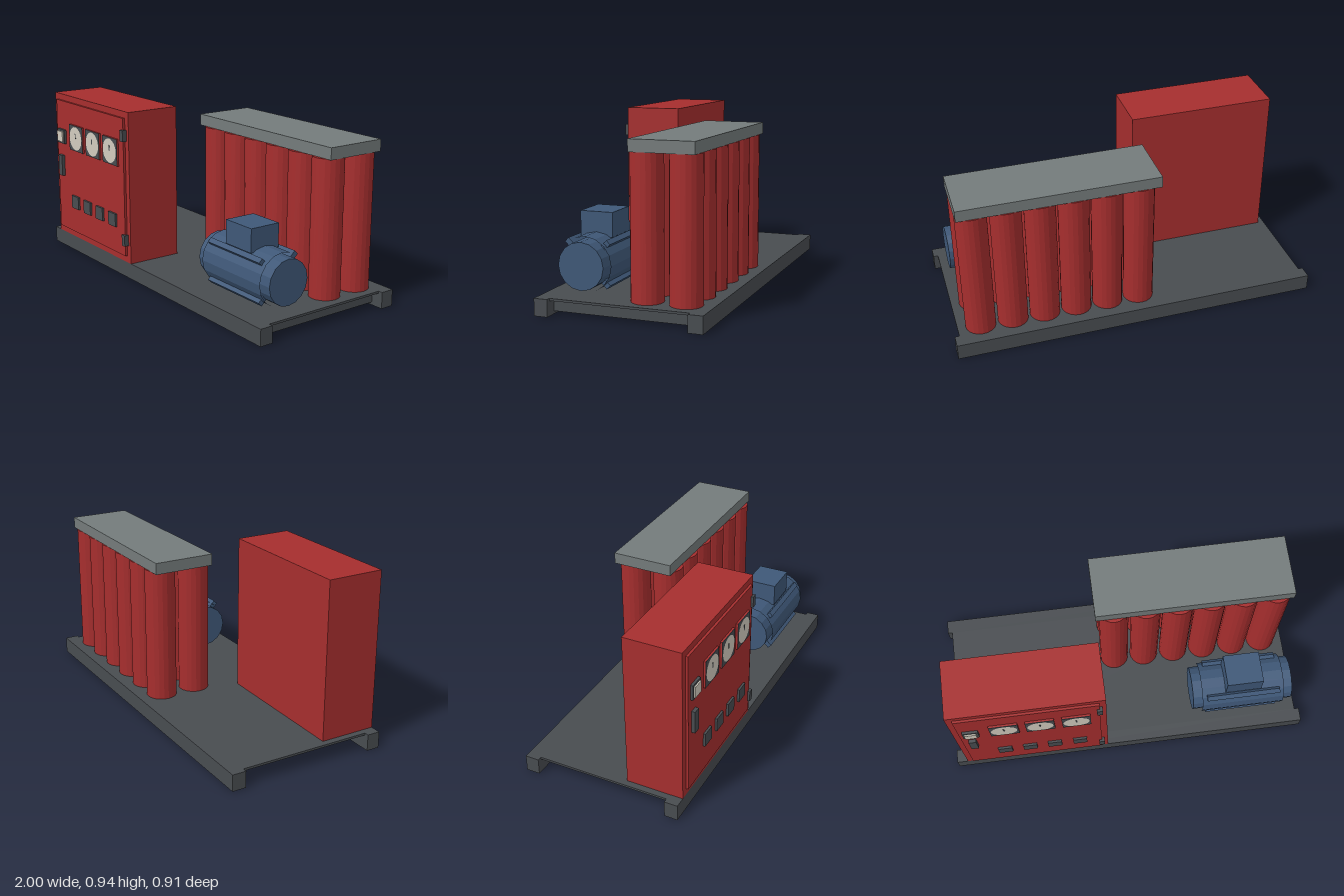
import * as THREE from 'three';

const mat = (name, color, extra = {}) => {
  const m = new THREE.MeshStandardMaterial({ color, ...extra });
  m.name = name;
  return m;
};

export function createModel() {
  const red = mat('red paint', 0xa62e2e, { flatShading: true });
  const blue = mat('blue paint', 0x3f5878, { flatShading: true });
  const dark = mat('dark steel', 0x484c50);
  const grey = mat('grey steel', 0x747b7b);
  const cream = mat('cream dial', 0xd2cbbe);

  const root = new THREE.Group();
  root.name = 'pumpSkid';
  const group = (name) => {
    const g = new THREE.Group();
    g.name = name;
    root.add(g);
    return g;
  };
  const add = (parent, name, geo, material, x = 0, y = 0, z = 0) => {
    const m = new THREE.Mesh(geo, material);
    m.name = name;
    m.position.set(x, y, z);
    parent.add(m);
    return m;
  };
  // Box given by its extents on each axis
  const box = (parent, name, material, x0, x1, y0, y1, z0, z1) =>
    add(parent, name, new THREE.BoxGeometry(x1 - x0, y1 - y0, z1 - z0), material,
      (x0 + x1) / 2, (y0 + y1) / 2, (z0 + z1) / 2);

  // Base frame: two rails, deck and cross members
  const base = group('base');
  box(base, 'frontRail', dark, -1, 1, 0, 0.089, 0.348, 0.42);
  box(base, 'backRail', dark, -1, 1, 0, 0.089, -0.455, -0.38);
  box(base, 'deck', dark, -0.975, 0.975, 0.077, 0.089, -0.38, 0.348);
  for (const x of [-0.6, -0.1, 0.4, 0.9])
    box(base, 'crossMember', dark, x - 0.03, x + 0.03, 0.015, 0.077, -0.38, 0.348);

  // Control cabinet with door
  const cabinet = group('cabinet');
  box(cabinet, 'cabinetBody', red, -0.94, -0.13, 0.089, 0.938, 0.11, 0.42);
  box(cabinet, 'door', red, -0.905, -0.165, 0.127, 0.902, 0.42, 0.433);
  for (const y of [0.22, 0.808])
    box(cabinet, 'hinge', dark, -0.18, -0.15, y - 0.031, y + 0.031, 0.42, 0.446);
  box(cabinet, 'handle', dark, -0.87, -0.83, 0.453, 0.576, 0.433, 0.452);
  box(cabinet, 'switchFrame', dark, -0.883, -0.8, 0.65, 0.733, 0.433, 0.447);
  box(cabinet, 'switchButton', cream, -0.872, -0.811, 0.661, 0.722, 0.447, 0.455);
  for (const x of [-0.7, -0.562, -0.425, -0.285])
    box(cabinet, 'pushButton', dark, x - 0.038, x + 0.038, 0.277, 0.352, 0.433, 0.445);

  // Gauges: housing, bezel plate, round dial and needle
  for (const x of [-0.667, -0.479, -0.29]) {
    box(cabinet, 'gaugeHousing', red, x - 0.075, x + 0.075, 0.63, 0.78, 0.433, 0.443);
    box(cabinet, 'gaugeBezel', dark, x - 0.075, x + 0.075, 0.63, 0.78, 0.443, 0.445);
    add(cabinet, 'gaugeDial', new THREE.CircleGeometry(0.068, 24), cream, x, 0.705, 0.4465);
    box(cabinet, 'gaugeNeedle', dark, x - 0.004, x + 0.004, 0.705, 0.735, 0.446, 0.448);
  }

  // Two rows of six vessels under a common header
  const vessels = group('vessels');
  const tube = new THREE.CylinderGeometry(0.082, 0.082, 0.727, 20);
  for (const z of [-0.117, -0.317])
    for (let i = 0; i < 6; i++)
      add(vessels, 'vessel', tube, red, -0.028 + i * 0.1755, 0.4525, z);
  box(vessels, 'header', grey, -0.13, 0.933, 0.815, 0.877, -0.39, -0.055);

  // Electric motor lying along x
  const motor = group('motor');
  motor.position.set(0.653, 0.25, 0.197);
  const barrel = (name, r, len, open) => {
    const geo = new THREE.CylinderGeometry(r, r, len, 16, 1, open);
    geo.rotateZ(Math.PI / 2);
    return add(motor, name, geo, blue);
  };
  barrel('motorCore', 0.12, 0.562, false);
  barrel('motorShell', 0.138, 0.462, true);
  for (let i = 0; i < 4; i++) {
    const fin = new THREE.BoxGeometry(0.41, 0.06, 0.028);
    fin.translate(0, 0.128, 0);
    fin.rotateX(Math.PI / 4 + i * Math.PI / 2);
    add(motor, 'motorFin', fin, blue);
  }
  box(motor, 'terminalBox', blue, -0.1, 0.1, 0.115, 0.24, -0.087, 0.087);

  return root;
}
